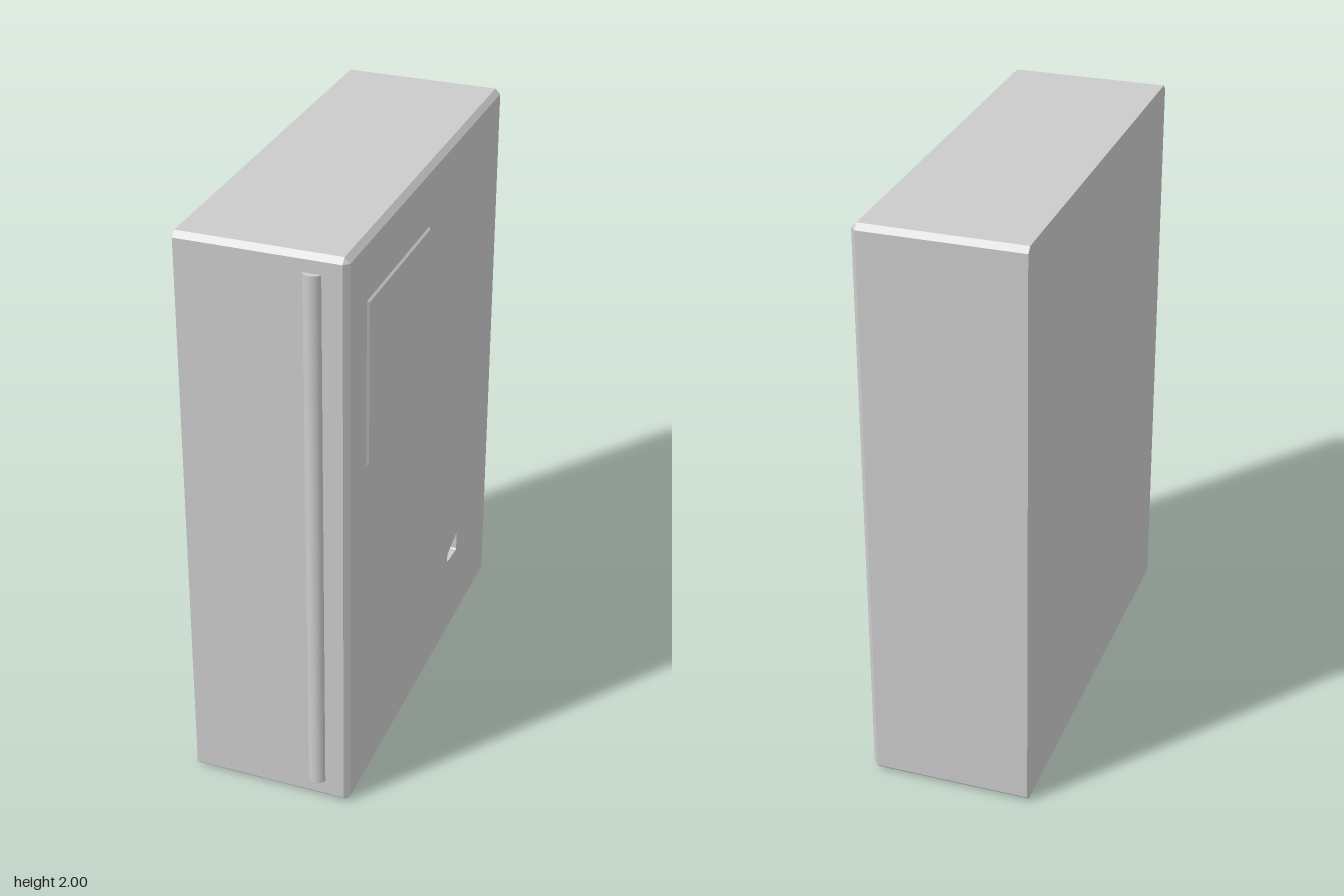
import * as THREE from 'three';

const material = new THREE.MeshStandardMaterial({ color: 0xcccccc });
const C = 0.018; // edge chamfer

// Outlines are [u, y] pairs, counter-clockwise as seen from +x, with u = -z.
// Rectangle with cut corners
function cutRect(u0, u1, y0, y1, c) {
  return [[u0 + c, y0], [u1 - c, y0], [u1, y0 + c], [u1, y1 - c],
    [u1 - c, y1], [u0 + c, y1], [u0, y1 - c], [u0, y0 + c]];
}

// Plain rectangle with doubled corners, to match the eight points above
function rect8(u0, u1, y0, y1) {
  return [[u0, y0], [u1, y0], [u1, y0], [u1, y1], [u1, y1], [u0, y1], [u0, y1], [u0, y0]];
}

// Flat-sided skin through outlines placed at increasing x
function loft(rings) {
  const pos = [];
  for (let r = 0; r < rings.length - 1; r++) {
    const [a, b] = [rings[r], rings[r + 1]];
    const at = (ring, i) => {
      const [u, y] = ring.outline[i % ring.outline.length];
      return [ring.x, y, -u];
    };
    for (let i = 0; i < a.outline.length; i++) {
      pos.push(...at(a, i), ...at(a, i + 1), ...at(b, i + 1));
      pos.push(...at(a, i), ...at(b, i + 1), ...at(b, i));
    }
  }
  const geo = new THREE.BufferGeometry();
  geo.setAttribute('position', new THREE.Float32BufferAttribute(pos, 3));
  geo.computeVertexNormals();
  return geo;
}

// Flat face at x, facing +x, or -x when flipped
function face(outline, x, { hole = null, flip = false } = {}) {
  const sign = flip ? -1 : 1;
  const toPoints = (list) => list.map(([u, y]) => new THREE.Vector2(sign * u, y));
  const shape = new THREE.Shape(toPoints(outline));
  if (hole) shape.holes.push(new THREE.Path(toPoints(hole)));
  return new THREE.ShapeGeometry(shape).rotateY(sign * Math.PI / 2).translate(x, 0, 0);
}

export function createModel() {
  const model = new THREE.Group();
  const add = (name, geometry, parent = model) => {
    const mesh = new THREE.Mesh(geometry, material);
    mesh.name = name;
    parent.add(mesh);
    return mesh;
  };

  // Cabinet: chamfered all round except on the edges of its -x side
  const [u0, u1, y0, y1] = [-0.737, 0.757, 0, 2];
  const [xBack, xFace] = [-0.28, 0.273];
  const outer = cutRect(u0, u1, y0, y1, C);
  const i0 = u0 + C, i1 = u1 - C, j0 = y0 + C, j1 = y1 - C;

  // Tapered notch in the +x side
  const notch = [[0.286, 0.33], [0.291, 0.323], [0.388, 0.316], [0.393, 0.32],
    [0.393, 0.387], [0.388, 0.389], [0.291, 0.359], [0.286, 0.352]];
  const xFloor = xFace - 0.1;

  const cabinet = new THREE.Group();
  cabinet.name = 'cabinet';
  model.add(cabinet);
  add('cabinetShell', loft([
    { x: xBack, outline: outer },
    { x: xFace - C, outline: outer },
    { x: xFace, outline: rect8(i0, i1, j0, j1) },
  ]), cabinet);
  add('leftSide', face([[i0, j0], [i1, j0], [i1, j1], [i0, j1]], xFace, { hole: notch }), cabinet);
  add('rightSide', face(outer, xBack, { flip: true }), cabinet);

  // Reversed outline makes the notch walls face inward
  const inward = [...notch].reverse();
  add('notchWalls', loft([{ x: xFloor, outline: inward }, { x: xFace, outline: inward }]), cabinet);
  add('notchFloor', face(notch, xFloor), cabinet);

  // Thin raised panel with a bevelled rim
  const panel = new THREE.Group();
  panel.name = 'raisedPanel';
  model.add(panel);
  const rim = 0.006, xPanel = 0.28;
  const [p0, p1, q0, q1] = [-0.582, -0.012, 1.23, 1.8];
  const panelTop = rect8(p0 + rim, p1 - rim, q0 + rim, q1 - rim);
  add('panelRim', loft([
    { x: xFace, outline: rect8(p0, p1, q0, q1) },
    { x: xPanel, outline: panelTop },
  ]), panel);
  add('panelFace', face(panelTop.filter((_, i) => i % 2 === 0), xPanel), panel);

  // Round bar handle, part sunk into the front
  const handle = add('barHandle', new THREE.CylinderGeometry(0.032, 0.032, 1.87, 32));
  handle.position.set(0.16, 1.005, 0.725);

  return model;
}
